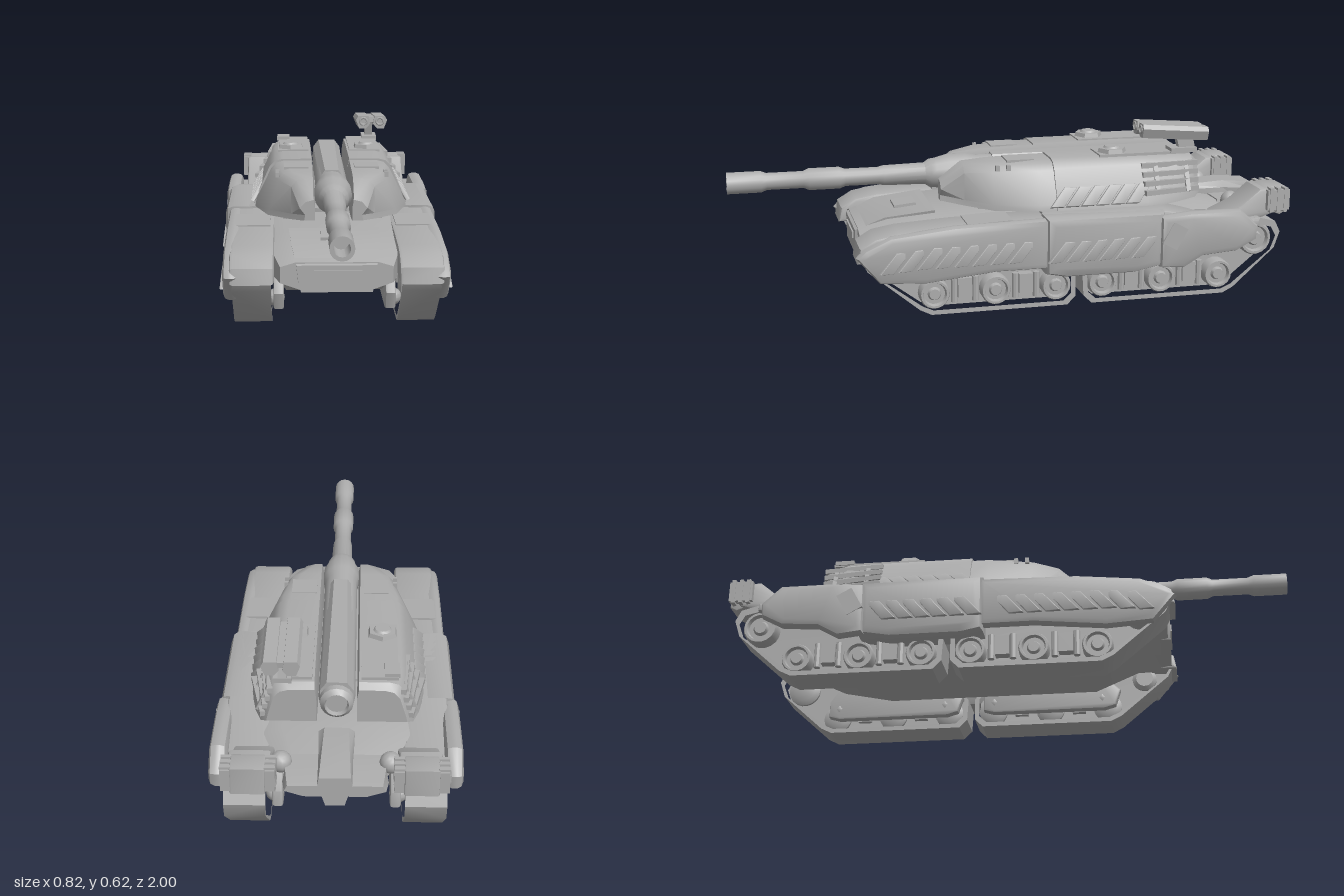
import * as THREE from 'three';
import { toCreasedNormals } from 'three/addons/utils/BufferGeometryUtils.js';

const steel = new THREE.MeshStandardMaterial({ color: 0xacacac });
steel.name = 'steel grey';

// Mirror a geometry in x and restore its winding
function mirrored(geo) {
  const g = geo.clone().scale(-1, 1, 1);
  const p = g.attributes.position, a = new THREE.Vector3(), b = new THREE.Vector3();
  for (let i = 0; i < p.count; i += 3) {
    a.fromBufferAttribute(p, i + 1);
    b.fromBufferAttribute(p, i + 2);
    p.setXYZ(i + 1, b.x, b.y, b.z);
    p.setXYZ(i + 2, a.x, a.y, a.z);
  }
  return g;
}

const polygon = (pts, C = THREE.Shape) => new C(pts.map(([x, y]) => new THREE.Vector2(x, y)));

// Plate with a (z, y) outline, spanning x0..x1
function plate(pts, x0, x1, bevel = 0, hole) {
  const shape = polygon(pts);
  if (hole) shape.holes.push(polygon(hole, THREE.Path));
  const g = new THREE.ExtrudeGeometry(shape, {
    depth: x1 - x0 - 2 * bevel, bevelEnabled: bevel > 0, bevelThickness: bevel,
    bevelSize: bevel, bevelOffset: -bevel, bevelSegments: 2,
  });
  return g.rotateY(-Math.PI / 2).translate(x1 - bevel, 0, 0);
}

// Skin over cross-sections [z, ring]; rings run anticlockwise, sections front to back
function loft(sections) {
  const n = sections[0][1].length, pos = [], idx = [];
  sections.forEach(([z, ring]) => ring.forEach(([x, y]) => pos.push(x, y, z)));
  for (let s = 0; s < sections.length - 1; s++) {
    for (let i = 0; i < n; i++) {
      const a = s * n + i, a2 = s * n + (i + 1) % n;
      idx.push(a, a + n, a2, a2, a + n, a2 + n);
    }
  }
  const e = (sections.length - 1) * n;
  for (let i = 1; i < n - 1; i++) idx.push(0, i, i + 1, e, e + i + 1, e + i);
  const g = new THREE.BufferGeometry();
  g.setAttribute('position', new THREE.Float32BufferAttribute(pos, 3));
  g.setIndex(idx);
  return g;
}

const symmetric = half => [...half, ...half.map(([x, y]) => [-x, y]).reverse()];
const lathe = (pts, seg) => new THREE.LatheGeometry(pts.map(p => new THREE.Vector2(...p)), seg);
const box = (w, h, d, x, y, z, rx = 0, ry = 0, rz = 0) =>
  new THREE.BoxGeometry(w, h, d).rotateX(rx).rotateY(ry).rotateZ(rz).translate(x, y, z);

export function createModel() {
  const model = new THREE.Group();
  const add = (name, geo, both = false) => {
    const g = geo.index ? geo.toNonIndexed() : geo;
    (both ? [g, mirrored(g)] : [g]).forEach((q, i) => {
      const m = new THREE.Mesh(toCreasedNormals(q, 0.6), steel);
      m.name = both ? (i ? 'right ' : 'left ') + name : name;
      model.add(m);
    });
  };
  const pair = (name, geo) => add(name, geo, true);

  // Hull
  add('hull', loft([
    [0.555, [[0.12, 0.175], [0.19, 0.2], [0.19, 0.255], [0.14, 0.27]]],
    [0.45, [[0.13, 0.155], [0.215, 0.2], [0.215, 0.28], [0.15, 0.3]]],
    [0.28, [[0.17, 0.1], [0.215, 0.16], [0.225, 0.295], [0.17, 0.315]]],
    [-0.1, [[0.17, 0.1], [0.22, 0.16], [0.27, 0.31], [0.2, 0.33]]],
    [-0.5, [[0.17, 0.1], [0.22, 0.16], [0.27, 0.31], [0.2, 0.33]]],
    [-0.68, [[0.15, 0.13], [0.2, 0.18], [0.24, 0.29], [0.18, 0.32]]],
    [-0.85, [[0.11, 0.2], [0.15, 0.22], [0.17, 0.26], [0.12, 0.285]]],
  ].map(([z, h]) => [z, symmetric(h)])));
  add('nose panel', box(0.17, 0.025, 0.009, 0, 0.232, 0.566));
  add('nose armour', loft([
    [0.565, symmetric([[0.12, 0.17], [0.128, 0.2], [0.135, 0.262]])],
    [0.46, symmetric([[0.12, 0.17], [0.14, 0.24], [0.15, 0.306]])],
    [0.28, symmetric([[0.13, 0.25], [0.15, 0.29], [0.16, 0.325]])],
  ]));
  add('driver hatch', box(0.1, 0.015, 0.08, 0, 0.318, 0.37, 0.1));
  add('turret ring', new THREE.CylinderGeometry(0.22, 0.22, 0.035, 24).translate(0, 0.322, -0.2));
  pair('turret floor', box(0.1, 0.03, 0.75, 0.13, 0.34, -0.25));

  // Tracks: hollow belts with an inner web
  const belts = {
    front: [[0.33, 0], [-0.16, 0], [-0.19, 0.03], [-0.19, 0.11], [-0.13, 0.2], [0.4, 0.235], [0.54, 0.25], [0.575, 0.22], [0.55, 0.17], [0.37, 0.02]],
    rear: [[-0.25, 0], [-0.75, 0], [-0.79, 0.02], [-0.945, 0.16], [-0.965, 0.22], [-0.945, 0.26], [-0.87, 0.28], [-0.3, 0.2], [-0.215, 0.11], [-0.22, 0.03]],
  };
  for (const [end, pts] of Object.entries(belts)) {
    const cz = end === 'front' ? 0.18 : -0.59;
    const inner = pts.map(([z, y]) => [cz + (z - cz) * 0.955, 0.115 + (y - 0.115) * 0.86]);
    pair(end + ' track belt', plate(pts, 0.22, 0.352, 0, inner));
    pair(end + ' track web', plate(inner, 0.265, 0.3));
  }

  // Road wheels, end wheels and suspension blocks
  const wheel = (r, z, y) => lathe([[0, -0.05], [r * 0.7, -0.05], [r, -0.04], [r, 0.04], [r * 0.92, 0.05],
    [r * 0.78, 0.05], [r * 0.7, 0.035], [r * 0.45, 0.035], [r * 0.35, 0.047], [0, 0.047]], 18)
    .rotateZ(-Math.PI / 2).translate(0.295, y, z);
  for (const z of [0.316, 0.097, -0.123, -0.295, -0.515, -0.735]) pair('road wheel', wheel(0.054, z, 0.07));
  pair('front idler', wheel(0.046, 0.46, 0.178));
  pair('rear sprocket', wheel(0.062, -0.875, 0.195));
  for (const z of [0.207, -0.013, -0.405, -0.625]) {
    pair('suspension block', box(0.09, 0.07, 0.05, 0.29, 0.085, z));
    for (const d of [-0.038, 0.038])
      pair('suspension damper', new THREE.CylinderGeometry(0.012, 0.012, 0.09, 8).translate(0.328, 0.08, z + d));
  }
  for (const z of [0.09, -0.51]) {
    pair('inner bogie plate', plate([[z + 0.26, 0.05], [z + 0.28, 0.11], [z + 0.18, 0.2], [z - 0.18, 0.2], [z - 0.24, 0.11], [z - 0.24, 0.05], [z - 0.2, 0.038], [z + 0.22, 0.038]], 0.178, 0.215, 0.008));
    for (const d of [-0.2, 0.21]) pair('bogie joint', new THREE.SphereGeometry(0.032, 12, 8).translate(0.207, 0.08, z + d));
  }

  // Fenders and side skirts
  pair('front fender', plate([[0.585, 0.2], [0.575, 0.255], [0.52, 0.288], [0.44, 0.302], [0.25, 0.313], [-0.1, 0.322], [-0.1, 0.2]], 0.21, 0.36, 0.012));
  pair('fender panel', box(0.13, 0.012, 0.16, 0.29, 0.316, 0.12, 0.04));
  pair('front skirt', plate([[0.59, 0.225], [0.56, 0.255], [0.47, 0.295], [0.25, 0.318], [-0.09, 0.325], [-0.09, 0.145], [0.1, 0.145], [0.35, 0.12], [0.51, 0.13]], 0.33, 0.382, 0.02));
  pair('middle fender', plate([[-0.08, 0.2], [-0.08, 0.33], [-0.52, 0.33], [-0.75, 0.27], [-0.88, 0.28], [-0.88, 0.25], [-0.5, 0.18]], 0.22, 0.37, 0.008));
  pair('middle skirt', plate([[-0.075, 0.125], [-0.075, 0.33], [-0.51, 0.33], [-0.51, 0.13], [-0.4, 0.11], [-0.15, 0.11]], 0.275, 0.398, 0.03));
  pair('rear skirt', plate([[-0.49, 0.13], [-0.49, 0.315], [-0.6, 0.325], [-0.79, 0.325], [-0.86, 0.26], [-0.855, 0.21], [-0.78, 0.17], [-0.65, 0.16], [-0.58, 0.12]], 0.352, 0.41, 0.022));
  pair('skirt stowage box', box(0.03, 0.085, 0.06, 0.397, 0.245, -0.54, -0.5));

  // Overlapping slanted armour scales
  const scale = (x, y, z, tilt = 0) =>
    plate([[0.055, -0.036], [0.005, -0.036], [-0.055, 0.036], [-0.005, 0.036]], -0.008, 0.008, 0.003)
      .rotateY(0.14).rotateZ(tilt).translate(x, y, z);
  for (let i = 0; i < 8; i++) pair('front skirt scale', scale(0.379, 0.205 + 0.005 * Math.min(i, 2), 0.46 - i * 0.064));
  for (let i = 0; i < 6; i++) pair('middle skirt scale', scale(0.396, 0.21, -0.13 - i * 0.06));
  for (let i = 0; i < 6; i++) pair('turret scale', scale(0.275, 0.374, -0.165 - i * 0.056, 0.44));

  // Turret halves either side of the gun
  const ring = (xo, xt, yb, yt) => [[0.066, yb], [xo, yb], [xo - 0.004, yb + 0.02],
    [xt + 0.02, yt - 0.03], [xt, yt - 0.008], [xt - 0.03, yt], [0.072, yt], [0.066, yt - 0.03]];
  pair('turret cheek', loft([
    [0.25, ring(0.105, 0.1, 0.345, 0.42)], [0.17, ring(0.155, 0.13, 0.334, 0.482)],
    [0.08, ring(0.235, 0.175, 0.33, 0.49)], [-0.08, ring(0.285, 0.205, 0.33, 0.494)],
    [-0.2, ring(0.285, 0.205, 0.33, 0.494)],
  ]));
  pair('turret body', loft([
    [-0.14, ring(0.293, 0.212, 0.322, 0.5)], [-0.48, ring(0.293, 0.212, 0.322, 0.5)],
    [-0.6, ring(0.272, 0.21, 0.335, 0.498)], [-0.67, ring(0.25, 0.2, 0.342, 0.493)],
    [-0.692, ring(0.23, 0.185, 0.355, 0.475)],
  ]));
  pair('roof panel', box(0.12, 0.01, 0.34, 0.14, 0.5, -0.49));
  pair('cheek ridge', box(0.09, 0.01, 0.1, 0.13, 0.492, -0.03));
  for (const z of [0.02, 0.06]) pair('cheek stud', box(0.014, 0.02, 0.014, 0.2, 0.476, z));
  for (let i = 0; i < 4; i++)
    pair('side rack bar', box(0.018, 0.018, 0.22, 0.264 - i * 0.013, 0.375 + i * 0.03, -0.575, 0, 0.2 - i * 0.04));
  for (const [x, z] of [[0.25, -0.52], [0.238, -0.64]])
    pair('rack bracket', box(0.014, 0.115, 0.016, x, 0.42, z, 0, 0, 0.42));
  pair('hatch base', new THREE.CylinderGeometry(0.05, 0.056, 0.02, 6).translate(0.15, 0.51, -0.38));
  pair('hatch lid', new THREE.CylinderGeometry(0.026, 0.034, 0.01, 12).translate(0.15, 0.522, -0.38));
  add('right roof box', box(0.05, 0.016, 0.07, -0.18, 0.508, -0.62));

  // Gun with breech, sleeve and bore
  add('main gun', lathe([[0, -0.69], [0.035, -0.69], [0.04, -0.705], [0.055, -0.69], [0.06, -0.65], [0.06, 0.1],
    [0.068, 0.14], [0.068, 0.2], [0.055, 0.25], [0.053, 0.27], [0.04, 0.29], [0.037, 0.44], [0.032, 0.46], [0.032, 0.58],
    [0.04, 0.6], [0.04, 0.71], [0.031, 0.73], [0.031, 0.86], [0.039, 0.88], [0.039, 1], [0.026, 1], [0.026, 0.9], [0, 0.9]], 16)
    .rotateX(Math.PI / 2).translate(0, 0.425, 0));
  add('gun cover', loft([
    [0.04, symmetric([[0.04, 0.44], [0.045, 0.46], [0.025, 0.488]])],
    [-0.67, symmetric([[0.055, 0.44], [0.055, 0.46], [0.033, 0.49]])],
  ]));

  // Twin rocket launcher on the left roof
  const podRing = [[0.006, 0.585], [0.022, 0.566], [0.05, 0.566], [0.063, 0.6], [0.054, 0.616], [0.012, 0.616]];
  const pod = loft([[-0.47, podRing], [-0.72, podRing.map(([x, y]) => [x, y - 0.02])]]).toNonIndexed();
  add('left rocket pod', pod.clone().translate(0.178, 0, 0));
  add('right rocket pod', mirrored(pod).translate(0.178, 0, 0));
  for (const x of [0.145, 0.211])
    add('rocket tube', new THREE.TorusGeometry(0.014, 0.004, 6, 14).translate(x, 0.595, -0.469));
  add('pod bridge', box(0.03, 0.02, 0.23, 0.178, 0.591, -0.6, -0.08));
  add('launcher post', box(0.03, 0.08, 0.06, 0.175, 0.54, -0.65, 0.25));
  add('launcher foot', box(0.06, 0.018, 0.1, 0.175, 0.508, -0.64));

  // Rear arms carrying ribbed blocks, joined by a tail beam
  pair('rear arm', plate([[-0.68, 0.25], [-0.74, 0.285], [-0.82, 0.32], [-0.89, 0.378], [-0.96, 0.378], [-0.96, 0.29], [-0.87, 0.26]], 0.2, 0.335, 0.01));
  pair('rear block', plate([[-0.905, 0.375], [-0.93, 0.385], [-0.995, 0.38], [-1, 0.29], [-0.975, 0.275], [-0.91, 0.3]], 0.215, 0.325, 0.006));
  for (const x of [0.2, 0.338]) {
    pair('block side', box(0.03, 0.075, 0.085, x, 0.338, -0.955));
    for (let i = 0; i < 3; i++) pair('block rib', box(0.034, 0.09, 0.014, x, 0.338, -0.928 - i * 0.027));
  }
  pair('arm joint', new THREE.SphereGeometry(0.036, 14, 10).translate(0.175, 0.3, -0.84));
  add('tail beam', loft([
    [-0.8, symmetric([[0.13, 0.2], [0.16, 0.24], [0.15, 0.3]])],
    [-0.88, symmetric([[0.1, 0.21], [0.17, 0.25], [0.16, 0.3]])],
    [-0.955, symmetric([[0.1, 0.25], [0.16, 0.27], [0.15, 0.29]])],
  ]));
  add('tail spine', loft([
    [-0.7, symmetric([[0.06, 0.28], [0.06, 0.32], [0.04, 0.335]])],
    [-0.86, symmetric([[0.05, 0.23], [0.055, 0.32], [0.045, 0.345]])],
    [-0.975, symmetric([[0.03, 0.23], [0.055, 0.31], [0.05, 0.335]])],
  ]));
  return model;
}
